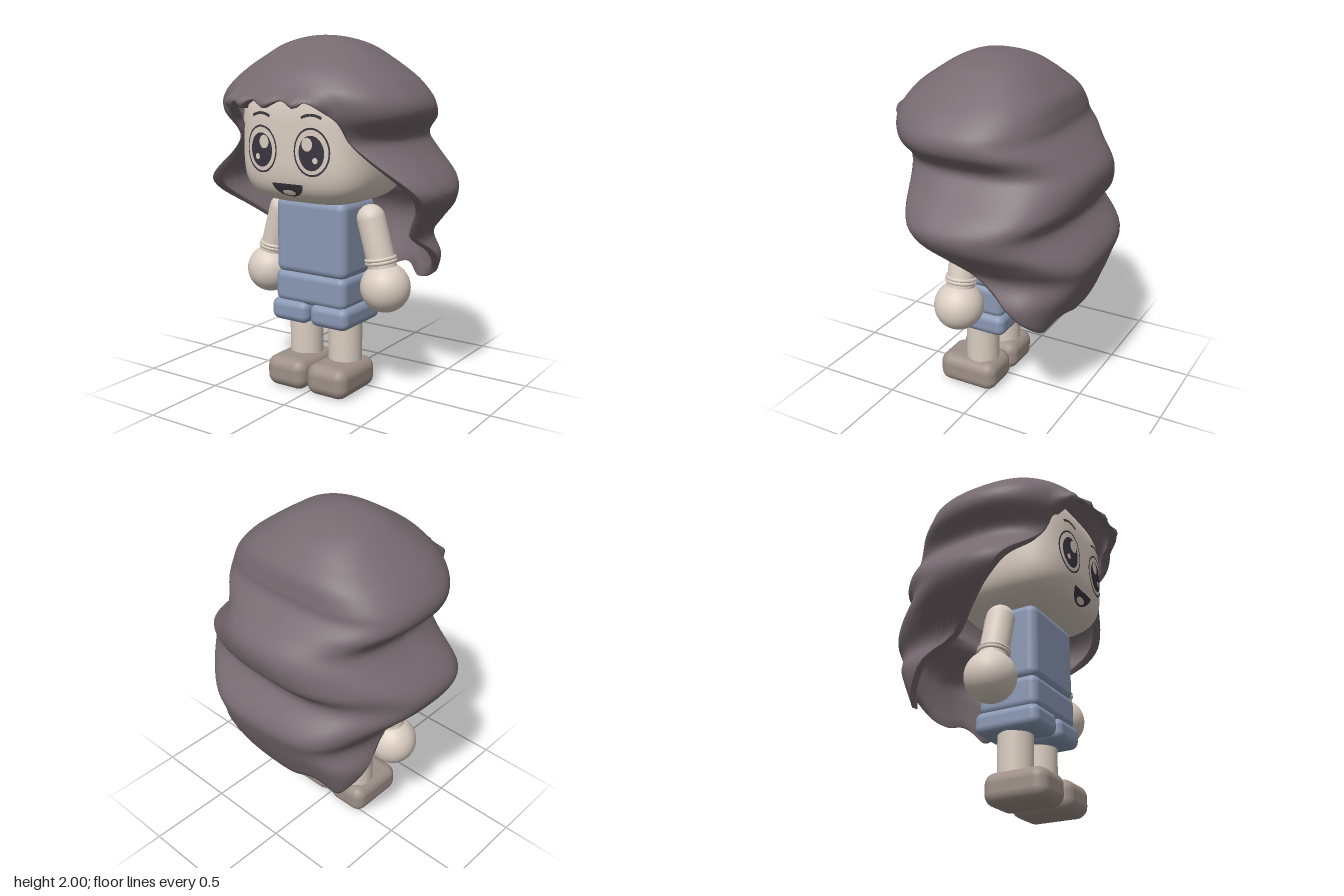
import * as THREE from 'three';
import { RoundedBoxGeometry } from 'three/addons/geometries/RoundedBoxGeometry.js';

const mat = (name, color, side = THREE.FrontSide) => {
  const m = new THREE.MeshStandardMaterial({ color, side });
  m.name = name;
  return m;
};

// Surface closed around the vertical axis: rows run downwards, columns run around
function loft(rows, cols, point) {
  const pos = [], idx = [];
  for (let i = 0; i <= rows; i++)
    for (let j = 0; j < cols; j++) pos.push(...point(i, (j / cols) * Math.PI * 2));
  for (let i = 0; i < rows; i++)
    for (let j = 0; j < cols; j++) {
      const k = (j + 1) % cols;
      const a = i * cols + j, b = i * cols + k, c = a + cols, d = b + cols;
      idx.push(a, c, b, b, c, d);
    }
  const g = new THREE.BufferGeometry();
  g.setAttribute('position', new THREE.Float32BufferAttribute(pos, 3));
  g.setIndex(idx);
  g.computeVertexNormals();
  return g;
}

// Smooth interpolation through [key, value] pairs with rising keys
function curve(pts) {
  const n = pts.length;
  const slope = (i) => {
    const a = pts[Math.max(i - 1, 0)], b = pts[Math.min(i + 1, n - 1)];
    return (b[1] - a[1]) / (b[0] - a[0]);
  };
  return (x) => {
    if (x <= pts[0][0]) return pts[0][1];
    if (x >= pts[n - 1][0]) return pts[n - 1][1];
    let i = 0;
    while (x > pts[i + 1][0]) i++;
    const h = pts[i + 1][0] - pts[i][0], t = (x - pts[i][0]) / h, t2 = t * t, t3 = t2 * t;
    return (2 * t3 - 3 * t2 + 1) * pts[i][1] + (t3 - 2 * t2 + t) * h * slope(i)
      + (3 * t2 - 2 * t3) * pts[i + 1][1] + (t3 - t2) * h * slope(i + 1);
  };
}
// Tables listed by height; the square root keeps the crown round
const byHeight = (pts) => {
  const f = curve(pts.map(([y, v]) => [Math.sqrt(2 - y), v]));
  return (y) => f(Math.sqrt(Math.max(0, 2 - y)));
};
const spow = (v, e) => Math.sign(v) * Math.abs(v) ** e;
const bump = (x, centre, width) => Math.exp(-(((x - centre) / width) ** 2));

// Head: a boxy superellipsoid (n around, m up and down), with the matching height of its face
const H = { hx: 0.405, hy: 0.35, dz: 0.37, yc: 1.44, zc: 0.085, n: 3.5, m: 4 };
function headGeometry() {
  return loft(48, 96, (i, a) => {
    const f = (i / 48) * Math.PI, s = Math.abs(Math.sin(f)) ** (2 / H.m);
    return [H.hx * s * spow(Math.sin(a), 2 / H.n), H.yc + H.hy * spow(Math.cos(f), 2 / H.m),
      H.zc + H.dz * s * spow(Math.cos(a), 2 / H.n)];
  });
}
function faceZ(x, y) {
  const s = (1 - Math.abs((y - H.yc) / H.hy) ** H.m) ** (1 / H.m);
  return H.zc + H.dz * s * Math.max(0, 1 - Math.abs(x / (H.hx * s)) ** H.n) ** (1 / H.n);
}

// Hair: half width, back, front and centre by height, lower edge by angle from the front
const hairX = byHeight([[2, 0], [1.95, 0.24], [1.9, 0.32], [1.83, 0.42], [1.74, 0.53], [1.65, 0.6], [1.57, 0.595],
  [1.46, 0.495], [1.38, 0.54], [1.2, 0.71], [1.1, 0.69], [0.98, 0.57], [0.88, 0.49], [0.75, 0.53], [0.55, 0.45]]);
const hairBack = byHeight([[2, 0.08], [1.93, -0.18], [1.85, -0.28], [1.78, -0.345], [1.68, -0.375], [1.62, -0.39], [1.54, -0.47],
  [1.42, -0.57], [1.26, -0.55], [1.15, -0.475], [1, -0.6], [0.92, -0.615], [0.65, -0.5], [0.5, -0.42]]);
const hairFront = byHeight([[2, 0.08], [1.95, 0.27], [1.9, 0.35], [1.825, 0.455], [1.76, 0.51], [1.7, 0.54], [1.6, 0.53],
  [1.5, 0.5], [1.26, 0.48], [0.95, 0.38], [0.5, 0.2]]);
const hairMid = byHeight([[2, 0.08], [1.65, 0.08], [1.4, 0.03], [1.2, 0.03], [0.95, -0.08], [0.75, -0.22], [0.5, -0.36]]);
const hairEdge = curve([[0, 1.625], [22, 1.61], [32, 1.55], [45, 1.43], [60, 1.25], [75, 1.06], [90, 0.84],
  [97, 0.73], [105, 0.66], [120, 0.61], [150, 0.62], [180, 0.61]]);

function hairGeometry() {
  const outer = 80, inner = 20;
  return loft(outer + inner, 160, (i, a) => {
    const off = a > Math.PI ? a - 2 * Math.PI : a;
    const turn = off * 180 / Math.PI, deg = Math.abs(turn);
    const back = THREE.MathUtils.smoothstep(deg, 95, 135);
    const fringe = 1 - THREE.MathUtils.smoothstep(Math.abs(turn + 5), 22, 34);
    const scallop = Math.abs(Math.sin(off * 13 + 0.4));
    // One longer lock hangs behind the right arm
    const end = hairEdge(deg) + fringe * 0.045 * scallop + back * 0.03 * Math.sin(off * 7 + 1)
      - 0.05 * bump(turn, -112, 14);
    const folded = i > outer;
    const t = folded ? 1 - 0.55 * (i - outer - 1) / (inner - 1) : i / outer;
    const y = 2 - (2 - end) * t ** 1.7;
    // Locks ripple more towards the tips
    const k = (folded ? 0.92 : 1) * (1 + back * 0.025 * t * t * Math.sin(off * 5 + y * 8));
    const c = Math.cos(a), s = Math.sin(a), m = hairMid(y);
    const e = c > 0 ? 0.88 : 0.74;
    const depth = c > 0 ? hairFront(y) - m : m - hairBack(y);
    // The fringe flips outwards, and the right side lock sweeps forwards
    const flip = fringe * bump(y, 1.65, 0.05) * (0.085 - 0.025 * scallop);
    const sweep = Math.max(0, -s) ** 2 * 0.08 * bump(y, 1.17, 0.13);
    return [hairX(y) * spow(s, e) * k, y, m + depth * spow(c, e) * k + flip + sweep];
  });
}

export function createModel() {
  const model = new THREE.Group();
  model.name = 'figure';
  const body = new THREE.Group();
  body.name = 'body';
  body.position.x = -0.005;
  model.add(body);
  const skin = mat('skin', 0xdacdc1);
  const cloth = mat('blueCloth', 0x8a98b4);
  const shoe = mat('shoeBrown', 0x9d8f87);
  const ink = mat('faceInk', 0x3a3540);
  const hair = mat('hair', 0x766a6f, THREE.DoubleSide);

  const add = (name, geo, material, x = 0, y = 0, z = 0) => {
    const m = new THREE.Mesh(geo, material);
    m.name = name;
    m.position.set(x, y, z);
    body.add(m);
    return m;
  };
  const box = (name, material, w, y0, y1, z0, z1, r, x = 0) =>
    add(name, new RoundedBoxGeometry(w, y1 - y0, z1 - z0, 5, r), material, x, (y0 + y1) / 2, (z0 + z1) / 2);
  // Thin plate laid onto the curved face
  const plate = (name, geo, material, x, y, lift) => {
    geo.translate(x, y, 0);
    const p = geo.attributes.position;
    for (let i = 0; i < p.count; i++) p.setZ(i, faceZ(p.getX(i), p.getY(i)) + lift);
    geo.computeVertexNormals();
    add(name, geo, material);
  };
  const oval = (rx, ry, hole = 0) => new THREE.RingGeometry(hole, 1, 40, 5).scale(rx, ry, 1);

  // Body and clothes
  box('torso', cloth, 0.47, 0.67, 1.11, -0.09, 0.255, 0.05);
  box('shorts', cloth, 0.475, 0.5, 0.69, -0.095, 0.26, 0.045);

  // Head and hair
  add('head', headGeometry(), skin);
  add('hair', hairGeometry(), hair);

  // Mouth
  plate('mouth', new THREE.RingGeometry(0, 1, 32, 4, Math.PI, Math.PI).scale(0.1, 0.072, 1), ink, 0, 1.222, 0.004);
  plate('tongue', oval(0.042, 0.016), skin, 0, 1.172, 0.007);

  for (const s of [-1, 1]) {
    const side = s > 0 ? 'left' : 'right';

    // Legs
    box(side + 'Shoe', shoe, 0.265, 0, 0.18, -0.05, 0.32, 0.065, s * 0.138);
    add(side + 'Leg', new THREE.CylinderGeometry(0.097, 0.097, 0.32, 32), skin, s * 0.135, 0.3, 0.083);
    box(side + 'Cuff', cloth, 0.25, 0.39, 0.52, -0.11, 0.275, 0.045, s * 0.132);

    // Arm, bracelet and hand
    const top = new THREE.Vector3(s * 0.302, 1.01, 0.083), wrist = new THREE.Vector3(s * 0.385, 0.72, 0.083);
    const dir = top.clone().sub(wrist), mid = top.clone().add(wrist).multiplyScalar(0.5);
    const tilt = Math.atan2(-dir.x, dir.y);
    const arm = add(side + 'Arm', new THREE.CapsuleGeometry(0.08, dir.length(), 8, 28), skin, mid.x, mid.y, mid.z);
    arm.rotation.z = tilt;
    for (const t of [0.19, 0.25]) {
      const p = wrist.clone().addScaledVector(dir, t);
      const ring = add(side + 'Bracelet', new THREE.TorusGeometry(0.08, 0.011, 10, 36).rotateX(Math.PI / 2), skin, p.x, p.y, p.z);
      ring.rotation.z = tilt * 0.7;
    }
    add(side + 'Hand', new THREE.SphereGeometry(0.14, 32, 24), skin, s * 0.397, 0.635, 0.083);

    // Ear
    add(side + 'Ear', new THREE.SphereGeometry(0.055, 20, 14).scale(0.5, 1, 0.8), skin, s * 0.405, 1.38, 0.08);

    // Eye and brow
    const ex = s * 0.162, ey = 1.4;
    plate(side + 'EyeRim', oval(0.106, 0.128, 0.92), ink, ex, ey, 0.004);
    plate(side + 'Pupil', oval(0.075, 0.092), ink, ex, ey - 0.005, 0.004);
    plate(side + 'Glint', oval(0.032, 0.036), skin, ex - s * 0.022, ey + 0.04, 0.007);
    plate(side + 'SmallGlint', oval(0.015, 0.017), skin, ex + s * 0.025, ey - 0.042, 0.007);
    plate(side + 'Brow', new THREE.RingGeometry(0.112, 0.127, 24, 1, Math.PI / 3, Math.PI / 3), ink, ex, ey + 0.072, 0.005);
  }
  return model;
}
